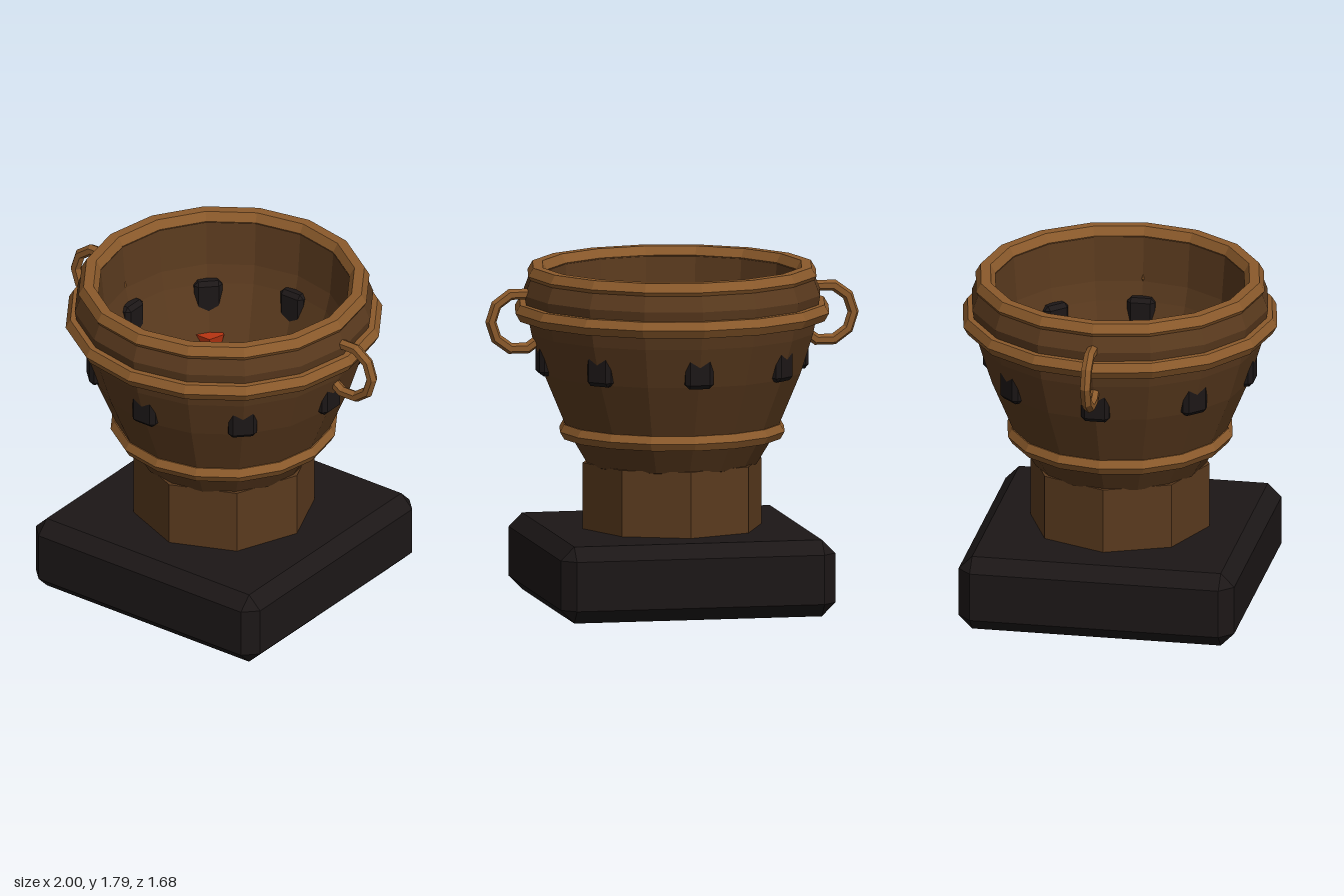
import * as THREE from 'three';
import { ConvexGeometry } from 'three/addons/geometries/ConvexGeometry.js';

const mat = (color) => new THREE.MeshStandardMaterial({ color, flatShading: true });
const wood = mat(0x5a3a1e);
const bronze = mat(0x8b5a2b);
const iron = mat(0x1c1717);
const ember = mat(0xb83411);

function add(parent, name, geometry, material, x = 0, y = 0, z = 0) {
  const mesh = new THREE.Mesh(geometry, material);
  mesh.name = name;
  mesh.position.set(x, y, z);
  parent.add(mesh);
  return mesh;
}

// Box with every edge cut at 45 degrees
function chamferedBox(w, h, d, c) {
  const points = [];
  for (const sx of [-1, 1]) for (const sy of [-1, 1]) for (const sz of [-1, 1]) {
    const x = w / 2, y = h / 2, z = d / 2;
    for (const [a, b, e] of [[x, y - c, z - c], [x - c, y, z - c], [x - c, y - c, z]]) {
      points.push(new THREE.Vector3(sx * a, sy * b, sz * e));
    }
  }
  return new ConvexGeometry(points);
}

export function createModel() {
  const group = new THREE.Group();
  group.name = 'brazier';

  // Square plinth and octagonal column
  add(group, 'plinth', chamferedBox(1.47, 0.405, 1.47, 0.072), iron, 0, 0.2025, 0);
  add(group, 'column', new THREE.CylinderGeometry(0.478, 0.478, 0.375, 8), wood, 0, 0.5675, 0);

  // Hollow bowl: up the outside, over the lip, down the inside
  const profile = [
    [0, 0.68], [0.3, 0.68], [0.45, 0.745], [0.555, 0.92], [0.685, 1.23], [0.752, 1.44],
    [0.77, 1.53], [0.79, 1.645], [0.755, 1.735], [0.71, 1.77],
    [0.665, 1.74], [0.645, 1.5], [0.62, 1.4], [0.47, 0.97], [0.17, 0.93], [0, 0.93],
  ].map(([r, y]) => new THREE.Vector2(r, y));
  add(group, 'bowl', new THREE.LatheGeometry(profile, 16), wood);

  // Bands around the bowl
  for (const [name, radius, tube, y] of [
    ['lowerBand', 0.555, 0.045, 0.92],
    ['upperBand', 0.788, 0.05, 1.553],
    ['rim', 0.717, 0.053, 1.746],
  ]) {
    const ring = new THREE.TorusGeometry(radius, tube, 6, 16).rotateX(Math.PI / 2);
    add(group, name, ring, bronze, 0, y, 0);
  }

  // Ring handles on both sides
  for (const side of [1, -1]) {
    const ring = new THREE.TorusGeometry(0.15, 0.03, 6, 10);
    if (side < 0) ring.rotateY(Math.PI);
    add(group, side > 0 ? 'leftHandle' : 'rightHandle', ring, bronze, side * 0.82, 1.513, 0);
  }

  // Iron blocks set through the wall, with glowing embers below them inside
  const blockGeometry = chamferedBox(0.15, 0.2, 0.15, 0.022);
  const emberGeometry = new THREE.CylinderGeometry(0.08, 0.038, 0.17, 5).rotateY(Math.PI);
  for (let i = 0; i < 8; i++) {
    const angle = (i * Math.PI) / 4;
    const s = Math.sin(angle), c = Math.cos(angle);
    const block = add(group, 'wallBlock', blockGeometry, iron, s * 0.645, 1.325, c * 0.645);
    block.rotation.y = angle;
    add(group, 'ember', emberGeometry, ember, s * 0.535, 1.065, c * 0.535);
  }

  return group;
}
